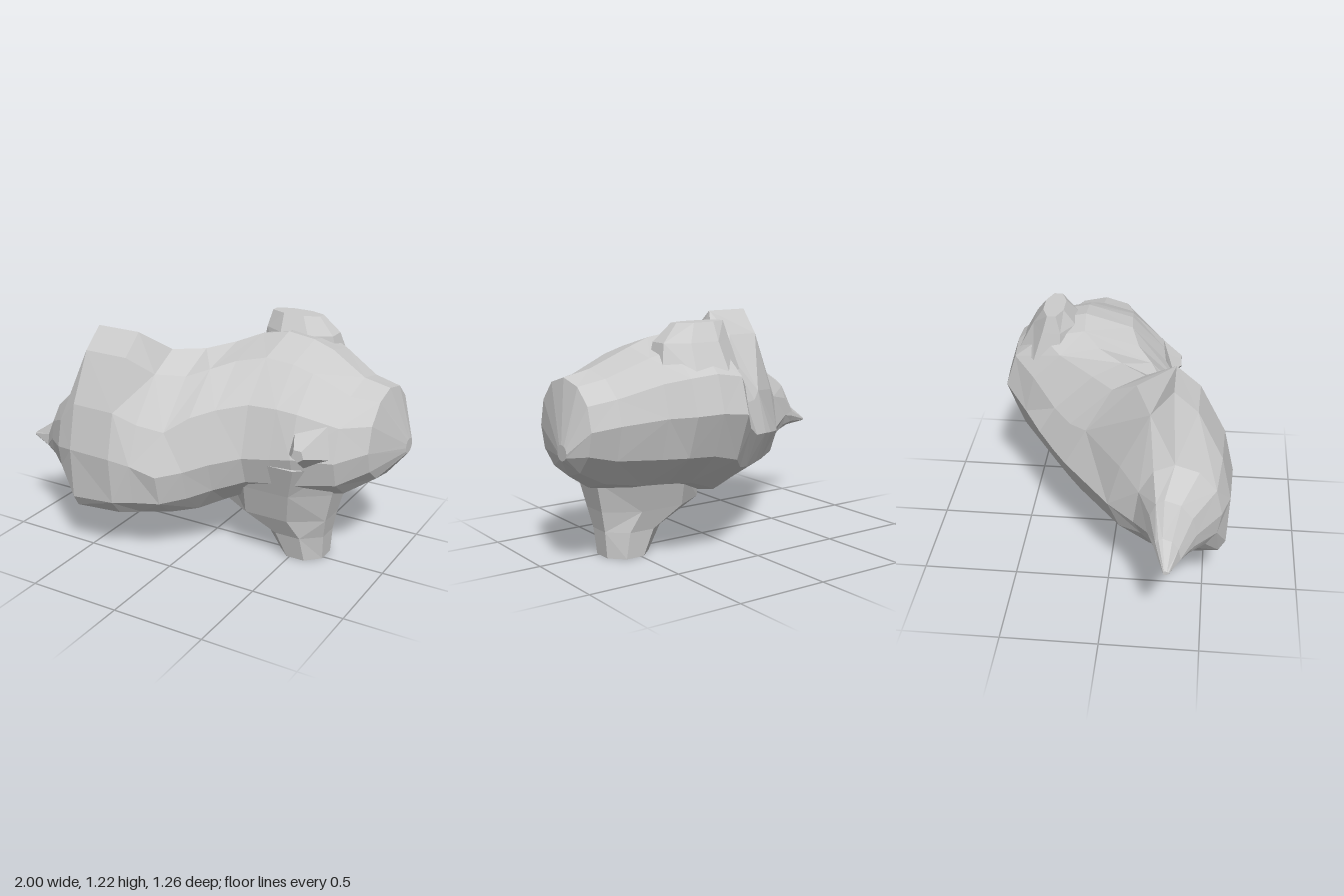
import * as THREE from 'three';

const material = new THREE.MeshStandardMaterial({ color: 0xcccccc, flatShading: true, roughness: 0.9 });

// Skin a stack of equal-length rings (arrays of Vector3) and close both ends.
function loft(name, rings) {
  const n = rings[0].length, pos = [], index = [];
  rings.forEach(r => r.forEach(p => pos.push(p.x, p.y, p.z)));
  for (let i = 0; i < rings.length - 1; i++) {
    for (let j = 0; j < n; j++) {
      const a = i * n + j, c = i * n + (j + 1) % n, b = a + n, d = c + n;
      // alternate the diagonals for a faceted, chipped look
      if ((i + j) % 2) index.push(a, b, c, c, b, d);
      else index.push(a, b, d, a, d, c);
    }
  }
  [0, rings.length - 1].forEach((i, end) => {
    const c = new THREE.Vector3();
    rings[i].forEach(p => c.addScaledVector(p, 1 / n));
    const k = pos.length / 3;
    pos.push(c.x, c.y, c.z);
    for (let j = 0; j < n; j++) {
      const a = i * n + j, b = i * n + (j + 1) % n;
      if (end) index.push(k, b, a); else index.push(k, a, b);
    }
  });
  const g = new THREE.BufferGeometry();
  g.setAttribute('position', new THREE.Float32BufferAttribute(pos, 3));
  g.setIndex(index);
  g.computeVertexNormals();
  const mesh = new THREE.Mesh(g, material);
  mesh.name = name;
  return mesh;
}

// Section: x, back z/y, front z/y, top z/y, bottom z/y
const sections = [
  [-1.0, 0.31, 0.49, 0.34, 0.49, 0.32, 0.5, 0.32, 0.48],
  [-0.87, 0.26, 0.53, 0.39, 0.47, 0.3, 0.59, 0.36, 0.46],
  [-0.78, 0.22, 0.55, 0.46, 0.55, 0.3, 0.75, 0.38, 0.42],
  [-0.64, 0.14, 0.5, 0.58, 0.58, 0.34, 0.86, 0.42, 0.36],
  [-0.53, 0.0, 0.52, 0.62, 0.6, 0.32, 1.2, 0.42, 0.245],
  [-0.28, -0.25, 0.58, 0.63, 0.6, 0.32, 1.2, 0.34, 0.24],
  [-0.18, -0.33, 0.6, 0.59, 0.57, 0.16, 1.08, 0.28, 0.24],
  [-0.05, -0.42, 0.62, 0.55, 0.52, 0.03, 1.07, 0.2, 0.235],
  [0.06, -0.51, 0.68, 0.46, 0.54, -0.1, 1.09, 0.12, 0.235],
  [0.17, -0.63, 0.78, 0.39, 0.58, -0.19, 1.13, 0.02, 0.28],
  [0.32, -0.635, 0.8, 0.31, 0.62, -0.2, 1.16, -0.08, 0.34],
  [0.47, -0.63, 0.8, 0.29, 0.64, -0.2, 1.14, -0.1, 0.36],
  [0.58, -0.55, 0.79, 0.28, 0.66, -0.2, 1.1, -0.1, 0.36],
  [0.78, -0.45, 0.76, 0.2, 0.65, -0.15, 1.0, -0.12, 0.4],
  [0.92, -0.41, 0.74, 0.1, 0.7, -0.15, 0.97, -0.18, 0.49],
  [1.0, -0.31, 0.63, -0.22, 0.63, -0.26, 0.67, -0.26, 0.59],
];

// Four curved quarters through the front, top, back and bottom points
function bodyRing([x, zb, yb, zf, yf, zt, yt, zd, yd]) {
  const F = [zf, yf], T = [zt, yt], B = [zb, yb], D = [zd, yd];
  const left = x < 0 && x > -0.6;
  const underside = left ? 2.2 - 6 * x : 2.2;
  const quarters = [
    [F, T, left ? 1.5 : 2, false],
    [B, T, left ? 1.3 : 2.1, true],
    [B, D, 1.9, false],
    [F, D, underside, true],
  ];
  const ring = [];
  for (const [side, pole, power, reverse] of quarters) {
    for (let k = 0; k < 3; k++) {
      const a = (reverse ? 3 - k : k) * Math.PI / 6;
      const c = Math.max(0, Math.cos(a)) ** (2 / power), s = Math.sin(a) ** (2 / power);
      ring.push(new THREE.Vector3(x, side[1] + (pole[1] - side[1]) * s, pole[0] + (side[0] - pole[0]) * c));
    }
  }
  return ring;
}

// Eight-sided level with cut corners: y, x range, z range
function levelRing([y, x0, x1, z0, z1]) {
  const ring = [];
  for (let j = 0; j < 8; j++) {
    const a = (j + 0.5) * Math.PI / 4, r = 0.5 / Math.cos(Math.PI / 8);
    ring.push(new THREE.Vector3(
      (x0 + x1) / 2 + (x1 - x0) * r * Math.cos(a), y,
      (z0 + z1) / 2 - (z1 - z0) * r * Math.sin(a)));
  }
  return ring.reverse();
}

export function createModel() {
  const group = new THREE.Group();
  group.name = 'rock';
  group.add(loft('rockBody', sections.map(bodyRing)));

  // tapering foot under the heavy end
  group.add(loft('foot', [
    [0, 0.41, 0.66, -0.16, 0.09],
    [0.14, 0.33, 0.67, -0.17, 0.12],
    [0.25, 0.1, 0.69, -0.2, 0.17],
    [0.42, 0.1, 0.73, -0.25, 0.22],
    [0.6, 0.18, 0.77, -0.25, 0.28],
  ].map(levelRing)));

  // raised lump on the back of the top
  group.add(loft('topLump', [
    [0.98, 0.1, 0.56, -0.56, -0.22],
    [1.13, 0.13, 0.52, -0.48, -0.25],
    [1.22, 0.15, 0.43, -0.42, -0.31],
  ].map(levelRing)));

  // small chipped knob on the front face
  const knob = new THREE.Mesh(new THREE.CylinderGeometry(0.035, 0.16, 0.16, 5), material);
  knob.name = 'knob';
  knob.rotation.x = Math.PI / 2;
  knob.position.set(0.64, 0.71, 0.24);
  group.add(knob);
  return group;
}
